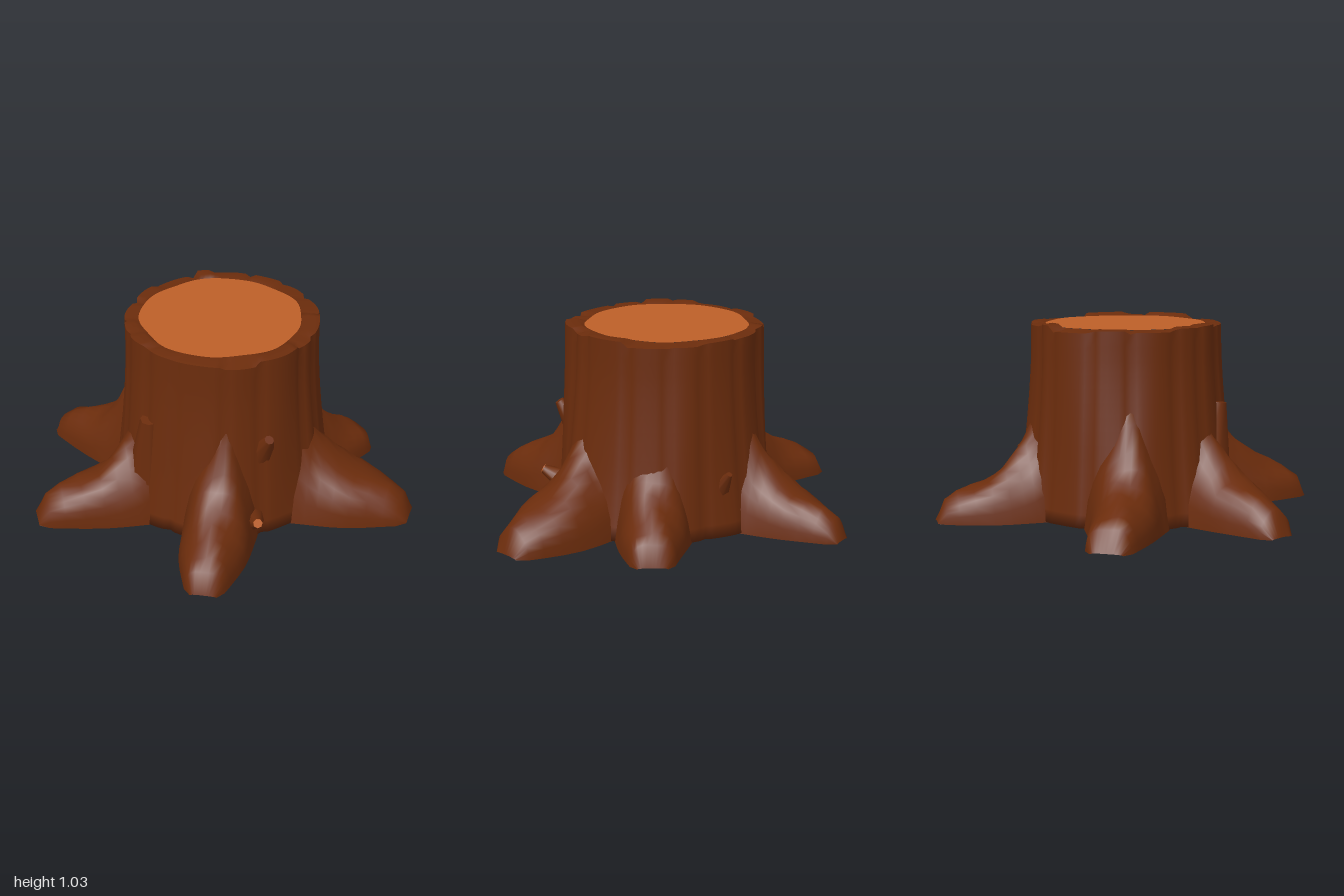
import * as THREE from 'three';

const CX = 0.01, CZ = -0.08; // trunk axis

// Joins closed rings of points into one smooth skin.
function loft(rings) {
  const n = rings[0].length, pos = [], idx = [];
  rings.forEach((ring) => ring.forEach((p) => pos.push(...p)));
  for (let i = 0; i < rings.length - 1; i++) {
    for (let j = 0; j < n; j++) {
      const k = (j + 1) % n, a = i * n + j, b = i * n + k;
      idx.push(a, b, b + n, a, b + n, a + n);
    }
  }
  const g = new THREE.BufferGeometry();
  g.setAttribute('position', new THREE.Float32BufferAttribute(pos, 3));
  g.setIndex(idx);
  g.computeVertexNormals();
  return g;
}

// Linear lookup in a list of [key, value] pairs.
function lookup(table, x) {
  for (let i = 1; i < table.length; i++) {
    const [x0, y0] = table[i - 1], [x1, y1] = table[i];
    if (x <= x1) return y0 + (y1 - y0) * Math.max(0, (x - x0) / (x1 - x0));
  }
  return table[table.length - 1][1];
}

// Roots: [x, z, half width] where they leave the trunk, midway and at the tip.
const roots = [
  { name: 'backRightRoot', p: [[-0.36, -0.44, 0.2], [-0.55, -0.63, 0.165], [-0.72, -0.84, 0.07]], lift: 0.95 },
  { name: 'backRoot', p: [[0.19, -0.54, 0.21], [0.25, -0.73, 0.165], [0.3, -0.935, 0.1]], lift: 1 },
  { name: 'backLeftRoot', p: [[0.44, -0.26, 0.25], [0.7, -0.44, 0.22], [0.96, -0.59, 0.1]], lift: 1.08 },
  { name: 'frontLeftRoot', p: [[0.4, 0.28, 0.2], [0.56, 0.48, 0.175], [0.73, 0.69, 0.09]], lift: 1.05 },
  { name: 'frontRoot', p: [[-0.08, 0.39, 0.22], [-0.19, 0.63, 0.18], [-0.345, 0.93, 0.09]], lift: 1.12 },
  { name: 'rightRoot', p: [[-0.48, 0.14, 0.22], [-0.7, 0.21, 0.165], [-0.99, 0.26, 0.11]], lift: 1 },
];
const rootAngles = roots.map(({ p }) => Math.atan2(p[0][0] - CX, p[0][1] - CZ));

// Swelling of the trunk where it runs down into a root.
function buttress(a, y) {
  const fade = Math.pow(Math.max(0, 1 - y / 0.85), 1.4);
  return rootAngles.reduce((sum, r) => sum + 0.07 * fade * Math.exp(8 * (Math.cos(a - r) - 1)), 0);
}

// Bark plates: each starts at an angle and has its own bulge and top height.
const SEG = 108;
const plates = [0, 6, 15, 21, 30, 34, 43, 50, 56, 63, 70, 74, 82, 89, 97, 102, 108];
function plateAt(j) {
  let k = 0;
  while (plates[k + 1] <= j) k++;
  const t = (j - plates[k]) / (plates[k + 1] - plates[k]);
  return {
    bulge: 0.006 + 0.013 * Math.pow(Math.sin(Math.PI * (0.12 + 0.8 * t)), 0.6) - (t === 0 ? 0.01 : 0),
    top: 1.012 + 0.01 * Math.sin(k * 2.7) + 0.008 * Math.sin(k * 5.1) - (t === 0 ? 0.008 : 0),
  };
}

const profile = [[0, 0.52], [0.3, 0.508], [0.6, 0.502], [1, 0.496]];

function ring(fn) {
  return Array.from({ length: SEG }, (_, j) => {
    const a = (j / SEG) * Math.PI * 2;
    const [r, y] = fn(j, a);
    return [CX + r * Math.sin(a), y, CZ + r * Math.cos(a)];
  });
}

const innerRadius = (a) => 0.424 - 0.012 * Math.sin(a) + 0.006 * Math.sin(5 * a) + 0.004 * Math.sin(9 * a + 1);

function trunkGeometry() {
  const rings = [ring(() => [0, 0.004])];
  for (let i = 0; i <= 14; i++) {
    const t = i / 14;
    rings.push(ring((j, a) => {
      const p = plateAt(j);
      const wave = 0.005 * Math.sin(4 * a + 3 * t) + 0.003 * Math.sin(11 * a - 2 * t);
      return [lookup(profile, t) + p.bulge + wave + buttress(a, t), Math.max(0.004, t * p.top)];
    }));
  }
  // sharp rim, then the bark's cut edge
  const top = rings[rings.length - 1];
  rings.push(top.map((p) => [...p]));
  rings.push(ring((j, a) => [0.46 + 0.006 * Math.sin(7 * a), plateAt(j).top + 0.006]));
  rings.push(ring((j, a) => [innerRadius(a), 1.012]));
  return loft(rings);
}

const crest = [[-0.2, 0.72], [0, 0.54], [0.12, 0.41], [0.3, 0.3], [0.5, 0.225], [0.78, 0.165], [0.92, 0.12], [1, 0.006]];
const stations = [-0.2, -0.08, 0.02, 0.12, 0.22, 0.35, 0.5, 0.65, 0.8, 0.92, 1];

function rootGeometry({ p, lift }, seed) {
  const curve = new THREE.CatmullRomCurve3(p.map(([x, z, w]) => new THREE.Vector3(x, w, z)));
  const N = 14;
  return loft(stations.map((u) => {
    const t = Math.max(0, u);
    const c = curve.getPoint(t), d = curve.getTangent(t);
    d.y = 0;
    d.normalize();
    const over = Math.min(0, u) * 0.55; // run on into the trunk
    const x0 = c.x + d.x * over, z0 = c.z + d.z * over;
    const w = c.y * (u === 1 ? 0.75 : 1), h = lookup(crest, u) * lift;
    const pinch = 0.38 * Math.max(0, 1 - t * 2);
    const pts = [];
    for (let k = 0; k <= N; k++) {
      const a = (k / N) * Math.PI, s = Math.sin(a);
      const bump = 1 + 0.07 * s * Math.sin(seed * 3 + u * 9 + k * 0.9);
      const side = w * Math.cos(a) * (1 - pinch * s) * bump;
      pts.push([x0 + d.z * side, h * Math.pow(s, 0.85) * bump, z0 - d.x * side]);
    }
    // repeated corners keep the flat underside crisp
    pts.push([...pts[N]], [...pts[0]]);
    return pts;
  }));
}

export function createModel() {
  const bark = new THREE.MeshStandardMaterial({ color: 0x6b2c0c });
  bark.name = 'bark';
  const wood = new THREE.MeshStandardMaterial({ color: 0xbd5f28 });
  wood.name = 'cutWood';

  const group = new THREE.Group();
  group.name = 'treeStump';
  const add = (name, geometry, material) => {
    const m = new THREE.Mesh(geometry, material);
    m.name = name;
    group.add(m);
    return m;
  };

  add('trunk', trunkGeometry(), bark);
  add('cutTop', loft([ring((j, a) => [innerRadius(a) + 0.002, 1.013]), ring(() => [0, 1.013])]), wood);
  roots.forEach((r, i) => add(r.name, rootGeometry(r, i), bark));

  // Knots and broken twig stubs: base, tip, base radius, tip radius
  const stubs = [
    ['backKnot', [-0.14, 0.2, -0.54], [-0.18, 0.34, -0.635], 0.07, 0.015],
    ['sideKnot', [0.47, 0.46, 0.06], [0.55, 0.58, 0.08], 0.07, 0.025],
    ['frontKnot', [-0.01, 0.25, 0.41], [0.03, 0.61, 0.44], 0.12, 0.05],
    ['snappedTwig', [0.48, 0.08, 0.14], [0.62, 0.155, 0.215], 0.08, 0.024],
  ];
  const up = new THREE.Vector3(0, 1, 0);
  stubs.forEach(([name, b, t, r0, r1]) => {
    const from = new THREE.Vector3(...b), to = new THREE.Vector3(...t);
    const dir = to.clone().sub(from), len = dir.length();
    const m = add(name, new THREE.CylinderGeometry(r1, r0, len, 8), bark);
    m.position.copy(from).add(to).multiplyScalar(0.5);
    m.quaternion.setFromUnitVectors(up, dir.normalize());
    if (name === 'snappedTwig') {
      // bare wood on the broken end
      const end = add('snappedTwigEnd', new THREE.CylinderGeometry(0.025, 0.025, 0.006, 7), wood);
      end.position.copy(to);
      end.quaternion.copy(m.quaternion);
    }
  });
  return group;
}
